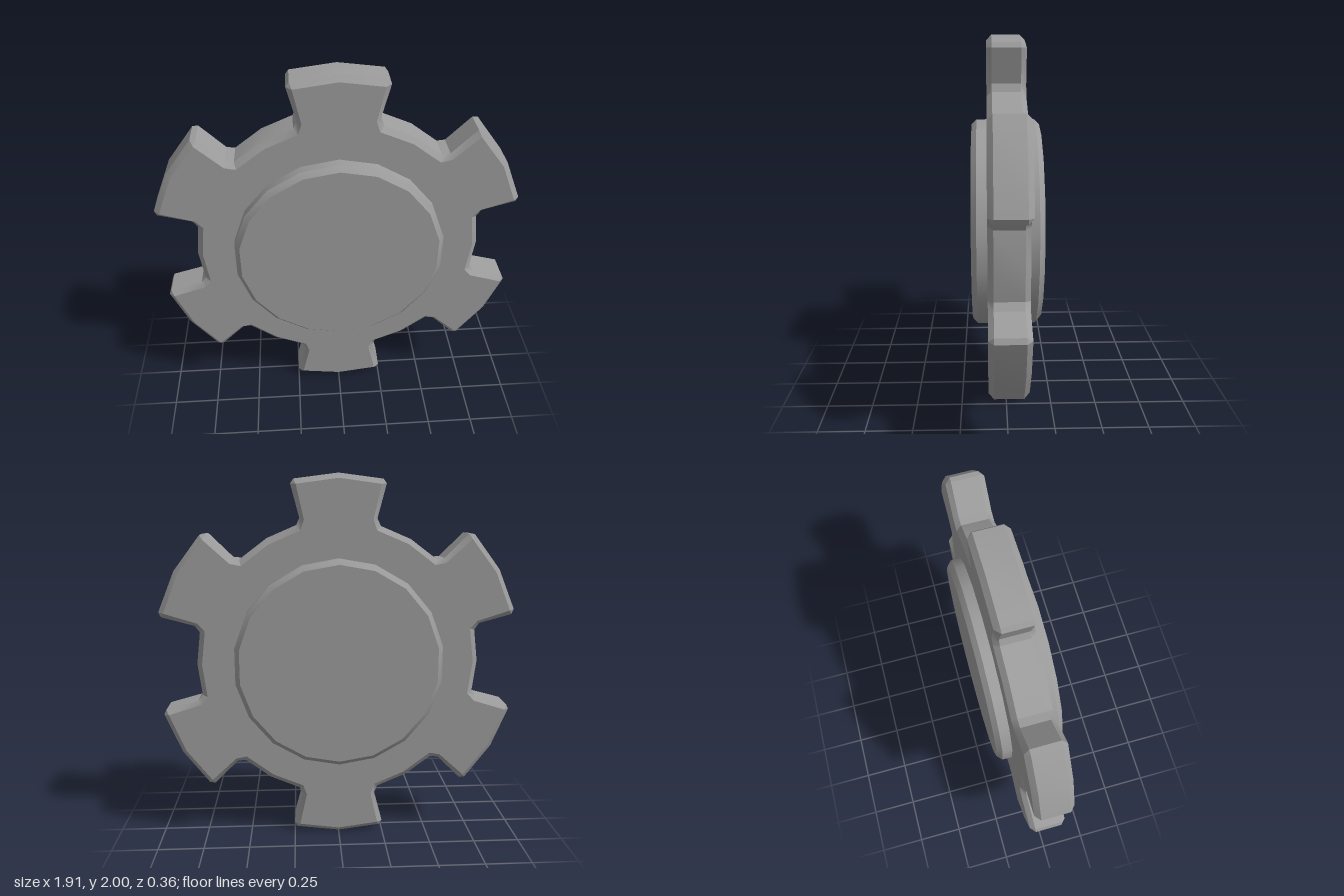
import * as THREE from 'three';
import { toCreasedNormals } from 'three/addons/utils/BufferGeometryUtils.js';

const TEETH = 6;

// Half of one tooth (pointing up), from gap middle to tip: [outer x, y, inset x, y]
const HALF = [
  [0.382, 0.662, 0.368, 0.637], // gap middle
  [0.222, 0.730, 0.200, 0.708], // root
  [0.204, 0.770, 0.181, 0.764], // foot of flank
  [0.250, 0.946, 0.221, 0.943], // blunted corner
  [0.233, 0.970, 0.221, 0.943],
  [0, 1, 0, 0.973],             // tip
];

// Full outline, counter-clockwise, by mirroring and rotating the half tooth
function outline(offset) {
  const half = HALF.map((p) => new THREE.Vector2(p[offset], p[offset + 1]));
  const mirrored = half.slice(1, -1).reverse().map((p) => new THREE.Vector2(-p.x, p.y));
  const tooth = [...half, ...mirrored];
  const centre = new THREE.Vector2();
  const points = [];
  for (let k = 0; k < TEETH; k++) {
    for (const p of tooth) points.push(p.clone().rotateAround(centre, (k * 2 * Math.PI) / TEETH));
  }
  return points;
}

// Toothed plate: bevelled cross-sections joined in loops, closed by fans
function gearGeometry() {
  const outer = outline(0), inner = outline(2);
  const sections = [[inner, -0.1], [outer, -0.073], [outer, 0.073], [inner, 0.1]];
  const n = outer.length;
  const positions = [], index = [];
  for (const [points, z] of sections) for (const p of points) positions.push(p.x, p.y, z);
  const back = positions.length / 3, front = back + 1;
  positions.push(0, 0, -0.1, 0, 0, 0.1);
  for (let i = 0; i < n; i++) {
    const j = (i + 1) % n;
    for (let s = 0; s < sections.length - 1; s++) {
      const a = s * n + i, b = s * n + j;
      index.push(a, b, b + n, a, b + n, a + n);
    }
    index.push(back, j, i, front, 3 * n + i, 3 * n + j);
  }
  const geometry = new THREE.BufferGeometry();
  geometry.setAttribute('position', new THREE.Float32BufferAttribute(positions, 3));
  geometry.setIndex(index);
  return geometry;
}

// Chamfered round hub standing out on both faces
function hubGeometry() {
  const profile = [[0, -0.18], [0.538, -0.18], [0.565, -0.153], [0.565, 0.153], [0.538, 0.18], [0, 0.18]];
  return new THREE.LatheGeometry(profile.map(([r, y]) => new THREE.Vector2(r, y)), 18).rotateX(Math.PI / 2);
}

export function createModel() {
  const group = new THREE.Group();
  group.name = 'gear';
  const material = new THREE.MeshStandardMaterial({ color: 0x9c9c9c });
  // Shallow bends are smooth, bevels and corners stay sharp
  const add = (name, geometry) => {
    const mesh = new THREE.Mesh(toCreasedNormals(geometry, Math.PI / 6), material);
    mesh.name = name;
    mesh.position.y = 1;
    group.add(mesh);
  };
  add('toothedPlate', gearGeometry());
  add('hub', hubGeometry());
  return group;
}
